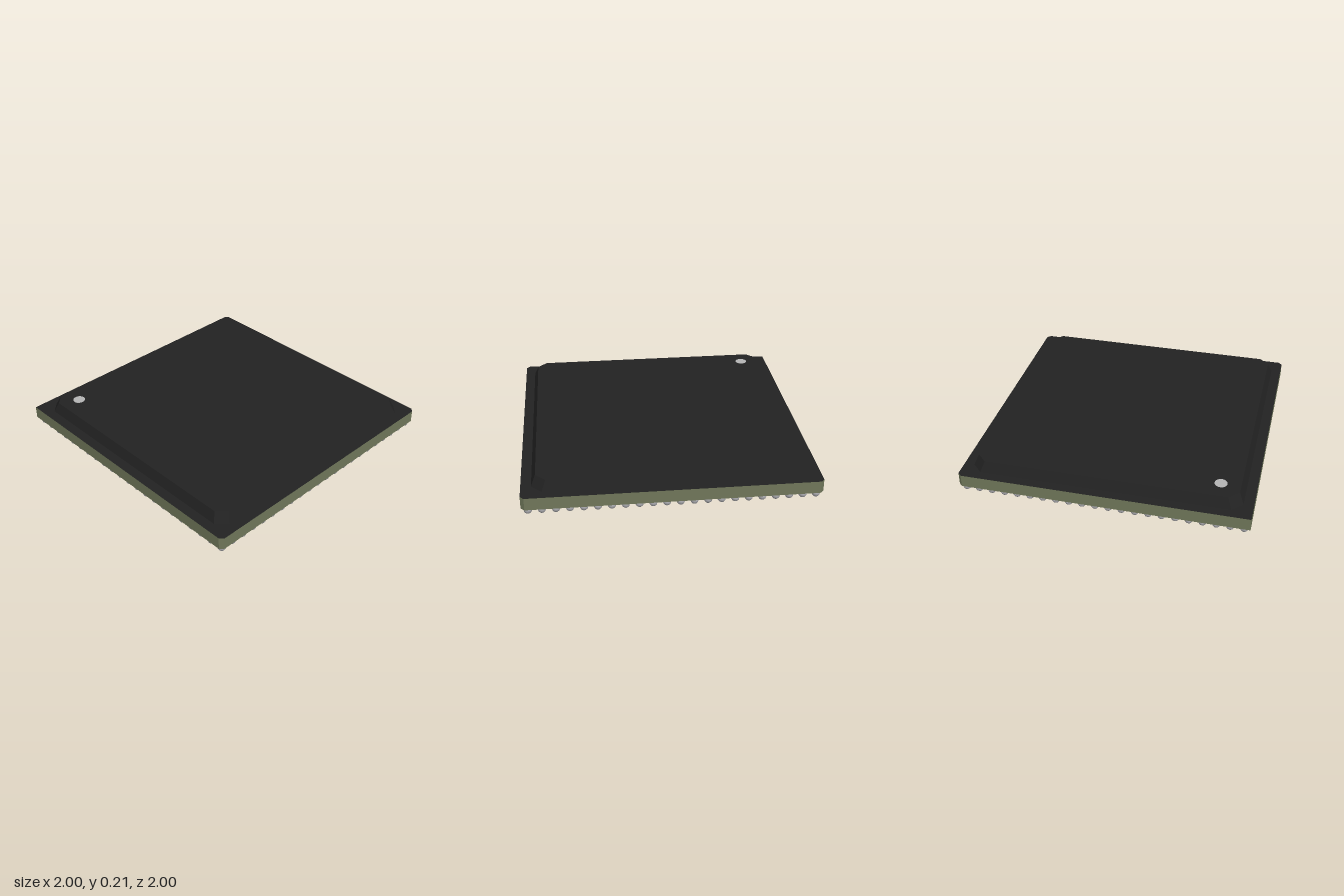
import * as THREE from 'three';
import { mergeGeometries } from 'three/addons/utils/BufferGeometryUtils.js';

const BALL_RADIUS = 0.028;
const BOARD_BOTTOM = 0.051, BOARD_TOP = 0.139, CAP_TOP = 0.211;

const material = (name, color) => {
  const m = new THREE.MeshStandardMaterial({ color });
  m.name = name;
  return m;
};

// Upright square slab; cuts are corner chamfers: front left, front right, back right, back left (as seen from above)
function slab(half, cuts, bottom, top) {
  const [fl, fr, br, bl] = cuts;
  const points = [
    [-half, -half + fl], [-half + fl, -half],
    [half - fr, -half], [half, -half + fr],
    [half, half - br], [half - br, half],
    [-half + bl, half], [-half, half - bl],
  ].map(([x, y]) => new THREE.Vector2(x, y))
    .filter((p, i, all) => i === 0 || !p.equals(all[i - 1]));
  const geometry = new THREE.ExtrudeGeometry(new THREE.Shape(points), {
    depth: top - bottom, bevelEnabled: false,
  });
  return geometry.rotateX(-Math.PI / 2).translate(0, bottom, 0);
}

export function createModel() {
  const black = material('black', 0x222222);
  const olive = material('olive', 0x70775a);
  const silver = material('silver', 0xa6a6aa);
  const markGrey = material('light grey', 0xb4b4b4);

  const group = new THREE.Group();
  group.name = 'chipPackage';
  const add = (name, geometry, mat) => {
    const mesh = new THREE.Mesh(geometry, mat);
    mesh.name = name;
    group.add(mesh);
  };

  // Substrate: black faces, olive edges, one square corner beside the pin mark
  add('substrate', slab(1, [0.025, 0.025, 0.025, 0], BOARD_BOTTOM, BOARD_TOP), [black, olive]);

  // Moulded cap: chamfered slab tapering towards its top
  const cap = slab(0.93, [0.07, 0.07, 0.07, 0.07], BOARD_TOP, CAP_TOP);
  const pos = cap.attributes.position;
  const taper = 0.9 / 0.93;
  for (let i = 0; i < pos.count; i++) {
    if (pos.getY(i) > (BOARD_TOP + CAP_TOP) / 2) {
      pos.setX(i, pos.getX(i) * taper);
      pos.setZ(i, pos.getZ(i) * taper);
    }
  }
  cap.computeVertexNormals();
  add('cap', cap, black);

  // Pin one mark
  const mark = new THREE.CylinderGeometry(0.043, 0.043, 0.004, 32);
  add('pinMark', mark.translate(-0.765, CAP_TOP, -0.765), markGrey);

  // Full grid of solder balls
  const count = 22, pitch = 0.091;
  const ball = new THREE.SphereGeometry(BALL_RADIUS, 12, 10);
  const balls = [];
  for (let i = 0; i < count; i++) {
    for (let j = 0; j < count; j++) {
      const x = (i - (count - 1) / 2) * pitch;
      const z = (j - (count - 1) / 2) * pitch;
      balls.push(ball.clone().translate(x, BALL_RADIUS, z));
    }
  }
  add('solderBalls', mergeGeometries(balls), silver);

  return group;
}
